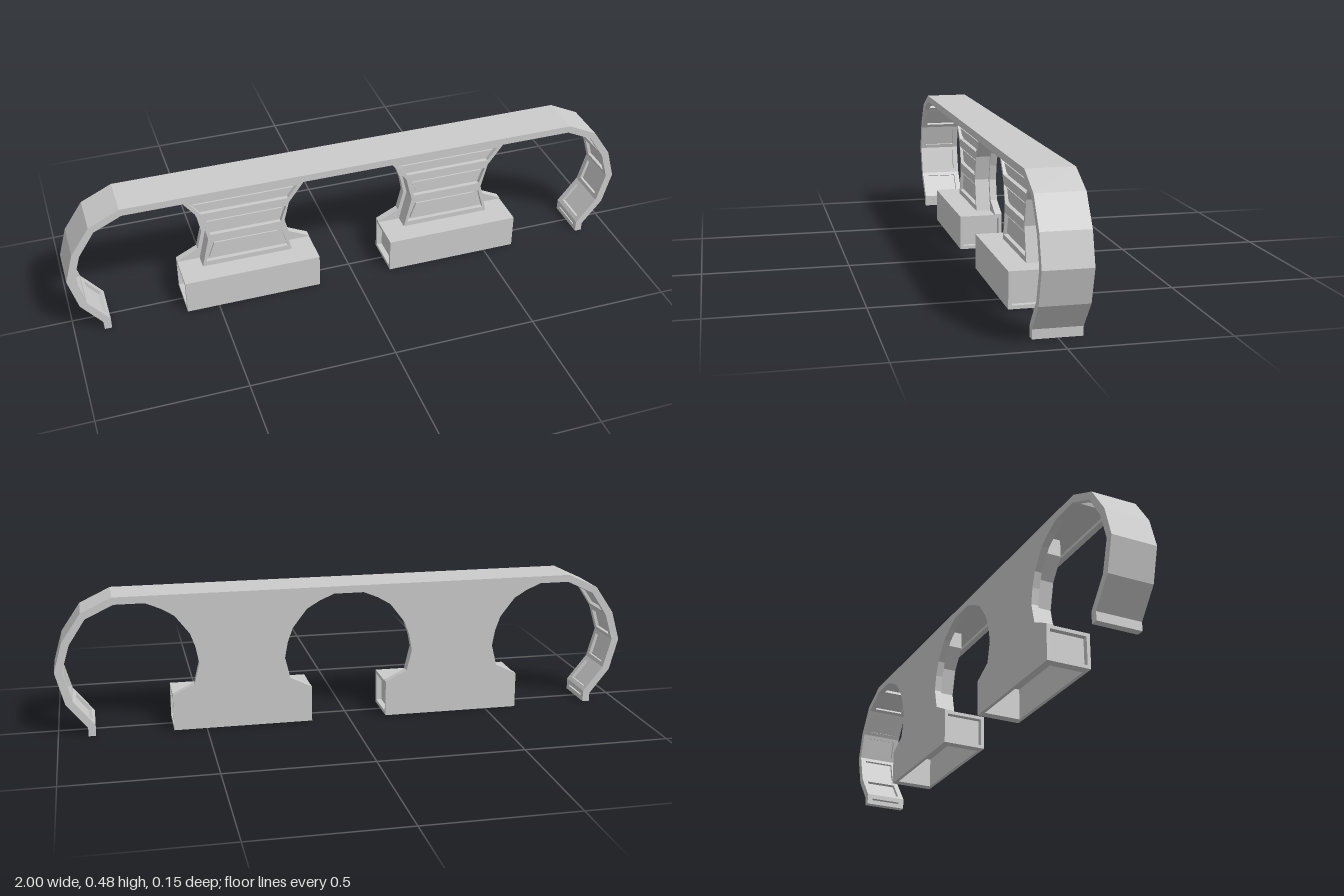
import * as THREE from 'three';

const D = 0.077; // half depth of the whole model
const material = new THREE.MeshStandardMaterial({ color: 0xcccccc, flatShading: true });

const toShape = (pts) => new THREE.Shape(pts.map(([x, y]) => new THREE.Vector2(x, y)));
const lerp = (a, b, t) => [a[0] + (b[0] - a[0]) * t, a[1] + (b[1] - a[1]) * t];

// Extrude an outline between two z planes
function slab(name, pts, z0, z1, holes = []) {
  const shape = toShape(pts);
  holes.forEach((h) => shape.holes.push(new THREE.Path(h.map(([x, y]) => new THREE.Vector2(x, y)))));
  const geo = new THREE.ExtrudeGeometry(shape, { depth: z1 - z0, bevelEnabled: false });
  geo.translate(0, 0, z0);
  const mesh = new THREE.Mesh(geo, material);
  mesh.name = name;
  return mesh;
}

function box(name, w, h, d, x, y, z) {
  const mesh = new THREE.Mesh(new THREE.BoxGeometry(w, h, d), material);
  mesh.name = name;
  mesh.position.set(x, y, z);
  return mesh;
}

// Symmetric outline from [halfWidth, y] pairs
const mirrored = (half) => [...half, ...half.slice().reverse().map(([x, y]) => [-x, y])];

// Long top bar with curled ends; the underside has shallow framed pockets
function createArch() {
  const group = new THREE.Group();
  group.name = 'archBand';
  const full = (half) => [...half, ...half.slice().reverse().map(([x, y]) => [-x, y])];
  const outer = full([[0.9, 0], [0.9, 0.03], [0.97, 0.118], [1, 0.23], [0.97, 0.333], [0.905, 0.428], [0.8, 0.478]]);
  const inner = full([[0.875, 0], [0.875, 0.04], [0.945, 0.127], [0.974, 0.23], [0.946, 0.323], [0.89, 0.408], [0.795, 0.453]]);
  const skin = outer.map((p, i) => lerp(p, inner[i], 0.55));
  const band = (a, b) => [...a, ...b.slice().reverse()];

  group.add(slab('bandSkin', band(outer, skin), -D, D));
  group.add(slab('frontRail', band(skin, inner), D - 0.02, D));
  group.add(slab('backRail', band(skin, inner), -D, -D + 0.02));
  // Cross ribs at both ends of every segment
  for (let i = 0; i < skin.length - 1; i++) {
    const t = Math.min(0.5, 0.015 / Math.hypot(skin[i + 1][0] - skin[i][0], skin[i + 1][1] - skin[i][1]));
    for (const [a, b] of [[0, t], [1 - t, 1]]) {
      const s = [a, b].map((k) => lerp(skin[i], skin[i + 1], k));
      const n = [b, a].map((k) => lerp(inner[i], inner[i + 1], k));
      group.add(slab('crossRib', [...s, ...n], -D + 0.02, D - 0.02));
    }
  }
  return group;
}

// Waisted pillar: wide back plate plus a narrower panelled front
function createPillar() {
  const group = new THREE.Group();
  group.name = 'pillar';
  const plate = mirrored([[0.24, 0.115], [0.24, 0.125], [0.165, 0.162], [0.147, 0.235], [0.157, 0.29],
    [0.175, 0.34], [0.225, 0.405], [0.27, 0.432], [0.325, 0.455]]);
  const core = mirrored([[0.162, 0.115], [0.155, 0.145], [0.134, 0.235], [0.156, 0.325], [0.208, 0.395], [0.208, 0.455]]);
  group.add(slab('backPlate', plate, -D, -D + 0.025));
  group.add(slab('core', core, -D + 0.025, -0.015));

  // Recessed panels: three trapezoids and two small slots
  const trapezoid = (y0, w0, y1, w1) => [[-w0, y0], [w0, y0], [w1, y1], [-w1, y1]];
  const rows = [[0.14, 0.147, 0.218, 0.126], [0.25, 0.125, 0.312, 0.146], [0.343, 0.153, 0.39, 0.188]];
  const holes = rows.map((r) => trapezoid(...r));
  for (const s of [-1, 1]) {
    holes.push([[-0.08, 0.408], [0.08, 0.408], [0.075, 0.438], [-0.075, 0.438]].map(([x, y]) => [x + s * 0.105, y]));
  }
  group.add(slab('panelFrame', core, -0.015, 0, holes));
  // Raised plates inside the trapezoid recesses
  for (const [y0, w0, y1, w1] of rows) {
    group.add(slab('panel', trapezoid(y0 + 0.01, w0 - 0.013, y1 - 0.01, w1 - 0.013), -0.016, -0.008));
  }
  return group;
}

// Hollow foot, open underneath, with framed ends
function createFoot() {
  const group = new THREE.Group();
  group.name = 'foot';
  const H = 0.122, W = 0.24, T = 0.012;
  group.add(box('topWall', 2 * W, T, 2 * D, 0, H - T / 2, 0));
  for (const s of [-1, 1]) {
    group.add(box('sideWall', 2 * W, H - T, T, 0, (H - T) / 2, s * (D - T / 2)));
    group.add(box('endPanel', T, H - T, 2 * (D - T), s * (W - 0.025), (H - T) / 2, 0));
    group.add(box('endSill', 0.025, T, 2 * (D - T), s * (W - 0.0125), T / 2, 0));
  }
  return group;
}

export function createModel() {
  const model = new THREE.Group();
  model.name = 'archedStand';
  model.add(createArch());
  for (const s of [-1, 1]) {
    const support = new THREE.Group();
    support.name = s > 0 ? 'leftSupport' : 'rightSupport';
    support.add(createPillar(), createFoot());
    support.position.x = s * 0.372;
    model.add(support);
  }
  return model;
}
